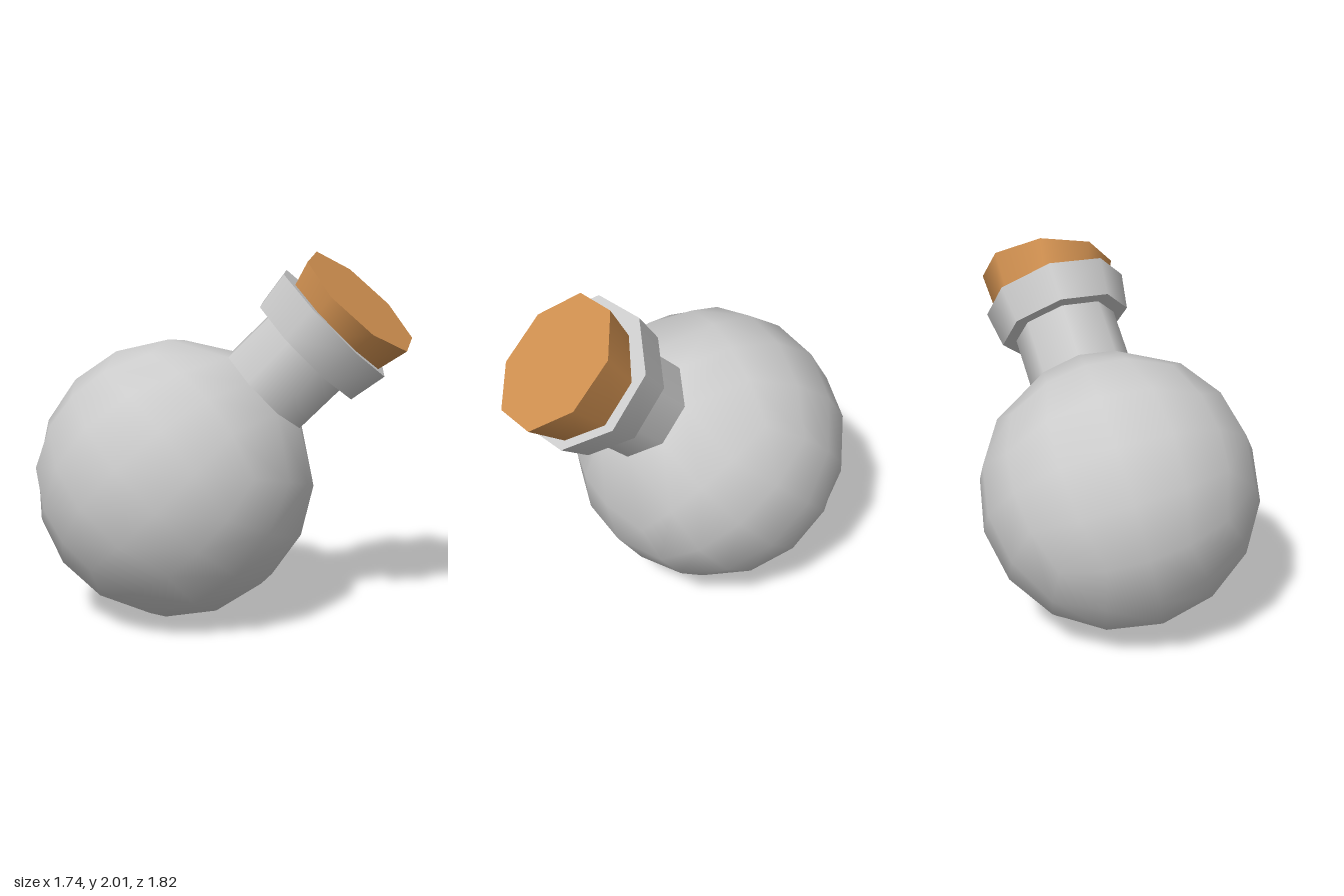
import * as THREE from 'three';

const glass = new THREE.MeshStandardMaterial({ color: 0xcccccc });
const corkMaterial = new THREE.MeshStandardMaterial({ color: 0xd09050 });

// Turns an object so its local y follows `axis` and its local z leans toward `side`
function orient(object, axis, side) {
  const y = new THREE.Vector3(...axis).normalize();
  const z = new THREE.Vector3(...side);
  z.addScaledVector(y, -z.dot(y)).normalize();
  const x = new THREE.Vector3().crossVectors(y, z);
  object.quaternion.setFromRotationMatrix(new THREE.Matrix4().makeBasis(x, y, z));
}

// Eight-sided tapered band between two heights
function band(name, rTop, rBottom, y0, y1, material) {
  const geometry = new THREE.CylinderGeometry(rTop, rBottom, y1 - y0, 8);
  geometry.translate(0, (y0 + y1) / 2, 0);
  const mesh = new THREE.Mesh(geometry, material);
  mesh.name = name;
  return mesh;
}

// Cube grid projected onto a sphere, with the opening's corners drawn in to an octagon
function bulbGeometry(radius, neckRadius) {
  const geometry = new THREE.BoxGeometry(2, 2, 2, 4, 4, 4);
  const p = geometry.attributes.position;
  const n = geometry.attributes.normal;
  const v = new THREE.Vector3();
  for (let i = 0; i < p.count; i++) {
    v.fromBufferAttribute(p, i);
    const neckCorner = v.y > 0.9 && Math.abs(Math.abs(v.x) - 0.5) < 0.01 && Math.abs(Math.abs(v.z) - 0.5) < 0.01;
    v.set(...v.toArray().map(c => Math.tan(c * Math.PI / 4))).normalize();
    n.setXYZ(i, v.x, v.y, v.z);
    v.multiplyScalar(radius);
    if (neckCorner) {
      const s = neckRadius / Math.hypot(v.x, v.z);
      v.set(v.x * s, radius * 0.92, v.z * s);
    }
    p.setXYZ(i, v.x, v.y, v.z);
  }
  return geometry;
}

export function createModel() {
  const model = new THREE.Group();
  model.name = 'roundFlask';

  // Flask leaning along its neck axis
  const flask = new THREE.Group();
  flask.name = 'flask';
  flask.position.set(-0.115, 0.76, 0.145);
  orient(flask, [0.481, 0.708, -0.517], [0.53, 0.235, 0.87]);

  const bulb = new THREE.Mesh(bulbGeometry(0.768, 0.29), glass);
  bulb.name = 'bulb';
  flask.add(
    bulb,
    band('neck', 0.29, 0.29, 0.6, 1.03, glass),
    band('collar', 0.405, 0.37, 1.018, 1.228, glass)
  );

  // Cork pushed in slightly askew
  const cork = band('cork', 0.376, 0.295, -0.32, 0, corkMaterial);
  cork.position.set(0.577, 1.747, -0.583);
  orient(cork, [0.581, 0.735, -0.349], [0.53, -0.5, -0.17]);

  model.add(flask, cork);
  return model;
}
